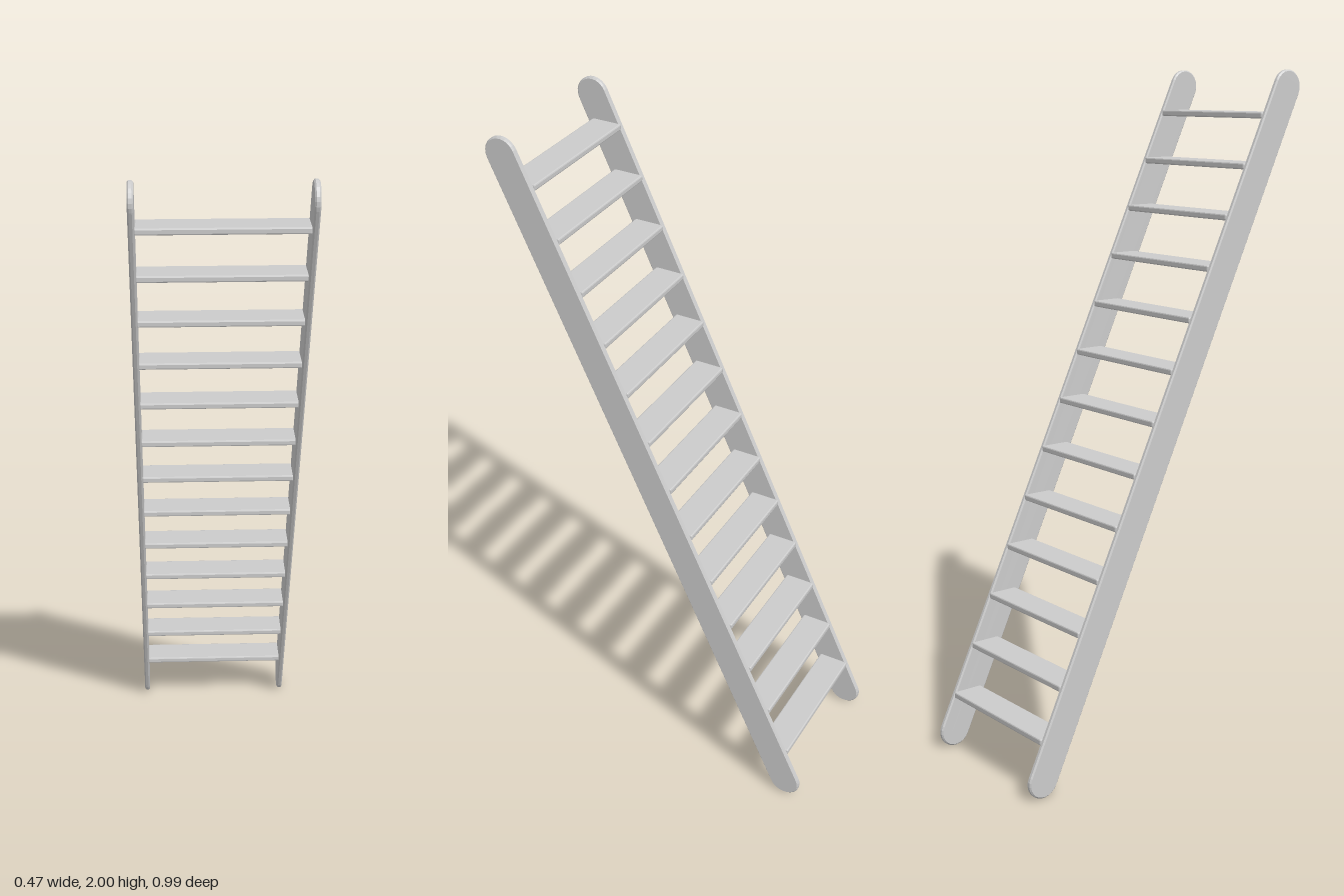
import * as THREE from 'three';
import { RoundedBoxGeometry } from 'three/addons/geometries/RoundedBoxGeometry.js';

const material = new THREE.MeshStandardMaterial({ color: 0xcccccc, flatShading: true });

const SLOPE = 0.469;      // z run per unit of height
const BEVEL = 0.004;
const RAIL_RADIUS = 0.049;
const RAIL_THICKNESS = 0.016;
const RAIL_X = 0.228;
const TREADS = 13;

// Leaning rail: a long rounded-end slot outline, extruded sideways with a small bevel
function railGeometry() {
  const r = RAIL_RADIUS - BEVEL;
  const cy = 1 - RAIL_RADIUS;
  const lean = Math.atan2(1, SLOPE);
  const shape = new THREE.Shape();
  shape.absarc(SLOPE * cy, cy, r, lean - Math.PI / 2, lean + Math.PI / 2, false);
  shape.absarc(-SLOPE * cy, -cy, r, lean + Math.PI / 2, lean + Math.PI * 1.5, false);
  const depth = RAIL_THICKNESS - 2 * BEVEL;
  const geometry = new THREE.ExtrudeGeometry(shape, {
    depth, curveSegments: 6,
    bevelSize: BEVEL, bevelThickness: BEVEL, bevelSegments: 1,
  });
  geometry.translate(0, 0, -depth / 2);
  geometry.rotateY(-Math.PI / 2);
  geometry.translate(0, 1, 0);
  return geometry;
}

export function createModel() {
  const model = new THREE.Group();
  model.name = 'ladderStair';

  // Side rails
  const rail = railGeometry();
  for (const side of [1, -1]) {
    const mesh = new THREE.Mesh(rail, material);
    mesh.name = side > 0 ? 'leftRail' : 'rightRail';
    mesh.position.x = side * RAIL_X;
    model.add(mesh);
  }

  // Level treads with softened edges
  const treads = new THREE.Group();
  treads.name = 'treads';
  const tread = new RoundedBoxGeometry(0.444, 0.018, 0.093, 1, BEVEL);
  for (let i = 0; i < TREADS; i++) {
    const mesh = new THREE.Mesh(tread, material);
    mesh.name = `tread${i + 1}`;
    const y = 0.162 + i * 0.1424;
    mesh.position.set(0, y, (y - 1) * SLOPE - 0.009);
    treads.add(mesh);
  }
  model.add(treads);

  return model;
}
